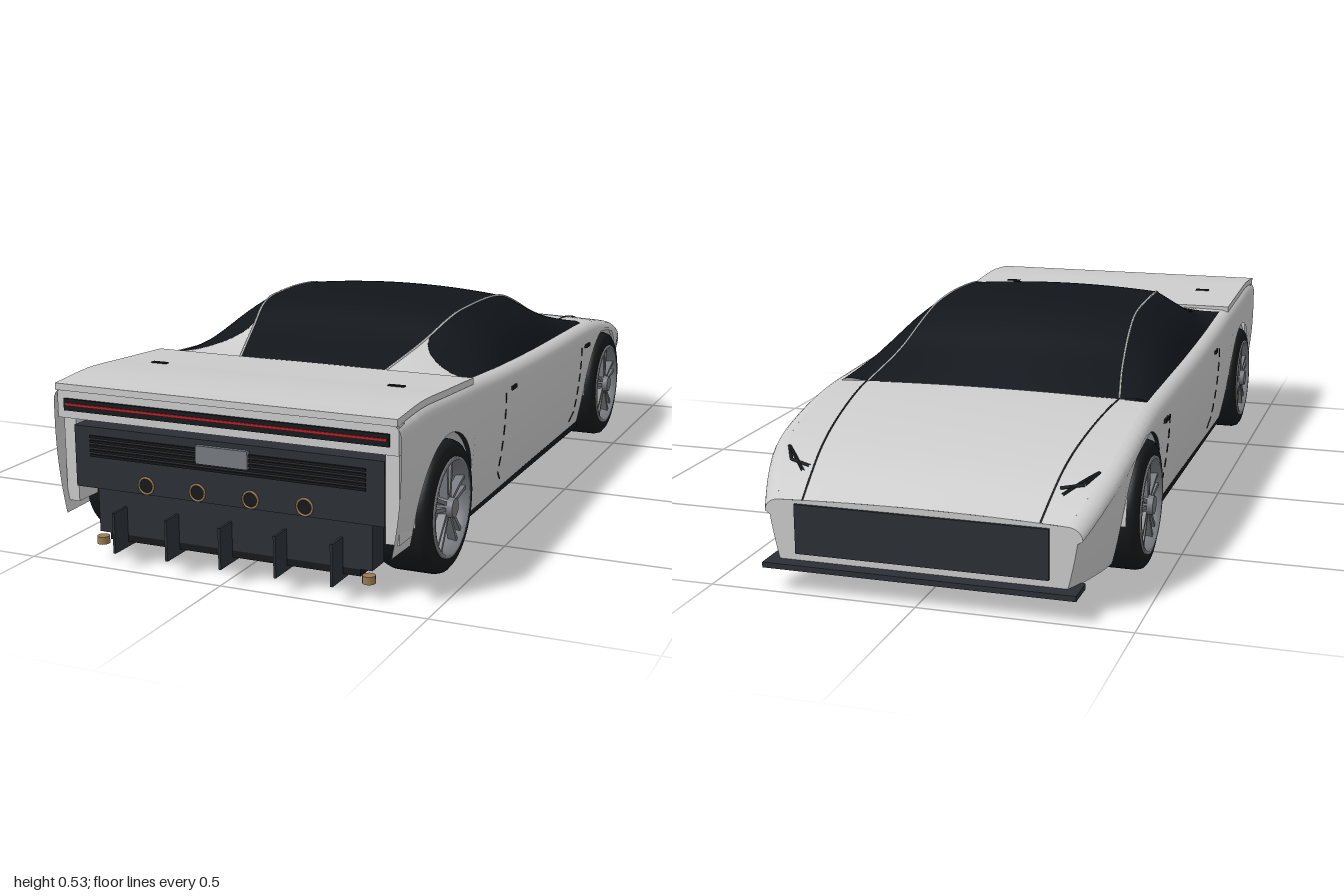
import * as THREE from 'three';

const paint = (color) => new THREE.MeshStandardMaterial({ color, side: THREE.DoubleSide });
const SILVER = paint(0xcccccc), GLASS = paint(0x12161b), DARK = paint(0x2b3036), BLACK = paint(0x16181a);
const METAL = paint(0x777b80), RED = paint(0xc01822), GOLD = paint(0x9a7b4f);
const lerp = THREE.MathUtils.lerp, clamp = THREE.MathUtils.clamp;

// Smooth curve through [z, value] pairs
function curve(pts) {
  const slope = (i) => {
    const a = pts[Math.max(i - 1, 0)], b = pts[Math.min(i + 1, pts.length - 1)];
    return (b[1] - a[1]) / (b[0] - a[0]);
  };
  return (z) => {
    z = clamp(z, pts[0][0], pts[pts.length - 1][0]);
    let i = 0;
    while (i < pts.length - 2 && z > pts[i + 1][0]) i++;
    const [z0, a] = pts[i], [z1, b] = pts[i + 1], d = z1 - z0, t = (z - z0) / d, t2 = t * t, t3 = t2 * t;
    return a * (2 * t3 - 3 * t2 + 1) + b * (3 * t2 - 2 * t3)
      + d * (slope(i) * (t3 - 2 * t2 + t) + slope(i + 1) * (t3 - t2));
  };
}

// Main lines of the car (the nose points to -z)
const NOSE = -0.965, TAIL = 0.985, COWL = -0.46, DECK = 0.53;
const WHEELS = [0.715, -0.605], WHEEL_Y = 0.155, ARCH = 0.172;
const topY = curve([[NOSE, 0.21], [-0.85, 0.28], [-0.75, 0.318], [-0.6, 0.35], [COWL, 0.365], [0, 0.377],
  [0.3, 0.39], [DECK, 0.405], [0.7, 0.415], [0.85, 0.423], [TAIL, 0.415]]);
const halfW = curve([[NOSE, 0.375], [-0.9, 0.4], [-0.8, 0.425], [-0.65, 0.433], [-0.4, 0.435], [0.8, 0.437], [TAIL, 0.432]]);
const roofY = curve([[COWL, 0.367], [-0.3, 0.435], [-0.2, 0.48], [-0.1, 0.515], [0, 0.526], [0.13, 0.527],
  [0.25, 0.515], [0.38, 0.465], [DECK, 0.412]]);
const seamY = curve([[COWL, 0.366], [-0.3, 0.42], [-0.2, 0.463], [-0.1, 0.498], [0, 0.51], [0.13, 0.512],
  [0.25, 0.503], [0.38, 0.456], [DECK, 0.408]]);
const seamX = curve([[COWL, 0.33], [-0.3, 0.3], [-0.1, 0.28], [0.1, 0.275], [0.25, 0.266], [0.38, 0.236], [DECK, 0.195]]);

function bottomY(z) {
  for (const c of WHEELS) {
    const d = Math.abs(z - c);
    if (d < ARCH) return WHEEL_Y + Math.sqrt(ARCH * ARCH - d * d);
  }
  return z > 0.88 ? 0.115 : 0.066;
}
function sidePoint(z, t) {
  const w = halfW(z), shoulder = topY(z) - 0.03;
  if (t < 0.75) {
    const y = lerp(bottomY(z), shoulder, t / 0.75);
    return [w - 0.035 * Math.pow(Math.max(0, 0.33 - y) / 0.27, 2), y];
  }
  const a = (t - 0.75) * 2 * Math.PI;
  return [w - 0.035 * (1 - Math.cos(a)), shoulder + 0.03 * Math.sin(a)];
}
const cabinSide = (s, z, v) => {
  const bulge = 0.012 * Math.sin(Math.PI * v) * Math.min(1, (DECK - z) * 5);
  return [s * (lerp(seamX(z), halfW(z) - 0.035, v) + bulge), lerp(seamY(z), topY(z), v) + bulge * 0.5, z];
};
const sailEdge = (z) => clamp(Math.pow(Math.max(0, z - 0.33) / 0.175, 2), 0, 1);
const hoodY = (x, z) => topY(z) + 0.008 * (1 - Math.pow(x / halfW(z), 2)) + 0.001;

export function createModel() {
  const car = new THREE.Group();
  car.name = 'sportsCar';

  const add = (name, geo, mat, x = 0, y = 0, z = 0, parent = car) => {
    const m = new THREE.Mesh(geo, mat);
    m.name = name;
    m.position.set(x, y, z);
    parent.add(m);
    return m;
  };
  // Box given by its limits on each axis
  const box = (name, mat, [x0, x1], [y0, y1], [z0, z1], parent) => add(name,
    new THREE.BoxGeometry(x1 - x0, y1 - y0, z1 - z0), mat, (x0 + x1) / 2, (y0 + y1) / 2, (z0 + z1) / 2, parent);
  // Curved sheet from f(u, v)
  const sheet = (name, mat, nu, nv, f) => {
    const geo = new THREE.PlaneGeometry(1, 1, nu, nv), p = geo.attributes.position, uv = geo.attributes.uv;
    for (let i = 0; i < p.count; i++) p.setXYZ(i, ...f(uv.getX(i), uv.getY(i)));
    geo.computeVertexNormals();
    return add(name, geo, mat);
  };
  const line = (name, mat, pts, r) => add(name, new THREE.TubeGeometry(
    new THREE.CatmullRomCurve3(pts.map((p) => new THREE.Vector3(...p))), pts.length * 4, r, 5), mat);
  const steps = (n, f) => Array.from({ length: n + 1 }, (_, i) => f(i / n));

  // Columns of the side panels, dense along the wheel arches
  const zs = steps(60, (t) => lerp(NOSE, TAIL, t)).concat([0.8795, 0.8805]);
  for (const c of WHEELS) {
    zs.push(c - ARCH - 0.0005, c + ARCH + 0.0005);
    zs.push(...steps(28, (t) => c - (ARCH - 1e-5) * Math.cos(Math.PI * t)));
  }
  zs.sort((a, b) => a - b);

  for (const s of [1, -1]) {
    const side = s > 0 ? 'left' : 'right';
    sheet(side + 'BodySide', SILVER, zs.length - 1, 20, (u, v) => {
      const z = zs[Math.round(u * (zs.length - 1))], [x, y] = sidePoint(z, v);
      return [s * x, y, z];
    });
    // Side window, rear sail panel and roof seam
    sheet(side + 'Window', GLASS, 48, 8, (u, v) => {
      const z = lerp(COWL, DECK, u);
      return cabinSide(s, z, lerp(sailEdge(z), 1, v));
    });
    sheet(side + 'SailPanel', SILVER, 20, 8, (u, v) => {
      const z = lerp(0.33, DECK, u);
      return cabinSide(s, z, v * sailEdge(z));
    });
    line(side + 'RoofSeam', SILVER, steps(16, (t) => cabinSide(s, lerp(COWL, DECK, t), 0)), 0.003);
    line(side + 'HoodSeam', DARK, steps(8, (t) => {
      const z = lerp(COWL, NOSE, t), x = lerp(0.33, 0.28, t);
      return [s * x, hoodY(x, z), z];
    }), 0.002);
    // Forked slit headlamp
    for (const [x0, z0, x1, z1] of [[0.375, -0.825, 0.31, -0.895], [0.375, -0.825, 0.352, -0.865], [0.352, -0.865, 0.3, -0.88]])
      line(side + 'Headlamp', BLACK, steps(3, (t) => {
        const x = lerp(x0, x1, t), z = lerp(z0, z1, t);
        return [s * x, hoodY(x, z), z];
      }), 0.004);
    // Dashed door seams, handle and side marker
    const outside = (z, t) => [s * (sidePoint(z, t)[0] + 0.0005), sidePoint(z, t)[1], z];
    for (const z of [0.32, -0.36])
      for (let i = 0; i < 6; i++)
        line(side + 'DoorSeam', BLACK, steps(2, (t) => outside(z - (i === 0 ? 0.03 * (1 - t) * Math.sign(z) : 0), 0.09 + (i + t * 0.6) * 0.105)), 0.0022);
    const [hx0, hx1] = s > 0 ? [0.425, 0.441] : [-0.441, -0.425];
    box(side + 'DoorHandle', BLACK, [hx0, hx1], [0.331, 0.341], [0.245, 0.28]);
    box(side + 'SideMarker', BLACK, [hx0, hx1], [0.307, 0.316], [-0.43, -0.39]);
    box(side + 'DeckHinge', BLACK, s > 0 ? [0.29, 0.33] : [-0.33, -0.29], [0.41, 0.429], [0.713, 0.726]);
    box(side + 'RearCorner', SILVER, s > 0 ? [0.388, 0.42] : [-0.42, -0.388], [0.14, 0.345], [0.89, 0.965]);
    box(side + 'Sill', BLACK, s > 0 ? [0.36, 0.405] : [-0.405, -0.36], [0.058, 0.074], [-0.43, 0.53]);
    for (const [x, z] of [[0.34, 0.945], [0.25, -0.78]])
      add(side + 'FloorBolt', new THREE.CylinderGeometry(0.015, 0.015, 0.018, 16), GOLD, s * x, 0.047, z);

    // Wheels and arch liners
    for (const c of WHEELS) {
      const liner = new THREE.CylinderGeometry(ARCH, ARCH, 0.13, 32, 1, true, 0, Math.PI);
      liner.rotateZ(Math.PI / 2);
      liner.rotateX(liner.attributes.position.getY(8) > 0 ? 0 : Math.PI);
      add(side + 'ArchLiner', liner, SILVER, s * 0.36, WHEEL_Y, c);
      const wheel = new THREE.Group();
      wheel.name = side + (c > 0 ? 'Rear' : 'Front') + 'Wheel';
      wheel.position.set(s * 0.377, WHEEL_Y, c);
      wheel.rotation.z = -s * Math.PI / 2;
      car.add(wheel);
      const lathe = (name, mat, pts) => add(name,
        new THREE.LatheGeometry(pts.map((p) => new THREE.Vector2(...p)), 48), mat, 0, 0, 0, wheel);
      lathe('tire', BLACK, [[0.1, -0.065], [0.14, -0.066], [0.15, -0.06], [0.155, -0.045], [0.155, 0.045], [0.151, 0.058], [0.142, 0.065], [0.116, 0.067]]);
      lathe('rim', METAL, [[0.118, 0.064], [0.117, 0.071], [0.109, 0.071], [0.103, 0.05], [0.1, 0.01]]);
      lathe('rimDisc', SILVER, [[0.002, 0.02], [0.104, 0.02]]);
      lathe('innerDisc', DARK, [[0.002, -0.05], [0.104, -0.05]]);
      add('hub', new THREE.CylinderGeometry(0.022, 0.03, 0.06, 24), METAL, 0, 0.046, 0, wheel);
      for (let i = 0; i < 5; i++) {
        const spoke = new THREE.Group();
        spoke.name = 'spoke';
        spoke.rotation.y = (i * 2 * Math.PI) / 5 + (s > 0 ? Math.PI : 0);
        wheel.add(spoke);
        for (const k of [-1, 1])
          add('spokeBar', new THREE.BoxGeometry(0.09, 0.02, 0.009), METAL, 0.065, 0.052, k * 0.011, spoke).rotation.y = -k * 0.1;
      }
    }
  }

  // Roof with windscreen and rear window, hood, nose
  sheet('roofGlass', GLASS, 48, 16, (u, v) => {
    const z = lerp(COWL, DECK, u), k = 2 * v - 1;
    return [k * seamX(z), lerp(roofY(z), seamY(z), k * k), z];
  });
  sheet('hood', SILVER, 24, 16, (u, v) => {
    const z = lerp(NOSE, COWL, u), k = 2 * v - 1;
    return [k * (halfW(z) - 0.035), topY(z) + 0.008 * (1 - k * k), z];
  });
  sheet('noseFace', SILVER, 8, 20, (u, v) => {
    const [x, y] = sidePoint(NOSE, v), k = 2 * u - 1;
    return [k * x, y + 0.008 * (1 - k * k) * v, NOSE];
  });
  box('grille', DARK, [-0.3, 0.3], [0.085, 0.203], [-0.972, -0.95]);
  box('splitter', DARK, [-0.37, 0.37], [0.055, 0.068], [-1, -0.92]);

  // Rear deck following the body line
  const deck = new THREE.BoxGeometry(0.85, 0.016, TAIL - DECK + 0.005, 1, 1, 14);
  deck.translate(0, 0, (TAIL + DECK) / 2);
  const dp = deck.attributes.position;
  for (let i = 0; i < dp.count; i++) dp.setY(i, dp.getY(i) + topY(dp.getZ(i)) + 0.002);
  deck.computeVertexNormals();
  add('rearDeck', deck, SILVER);

  // Tail panel, light bar, bumper with louvers, plate and exhausts
  box('tailPanel', SILVER, [-0.425, 0.425], [0.343, 0.41], [0.95, 0.98]);
  box('lightBar', BLACK, [-0.405, 0.405], [0.362, 0.39], [0.97, 0.986]);
  box('tailLight', RED, [-0.4, 0.4], [0.375, 0.38], [0.98, 0.988]);
  box('bumper', DARK, [-0.388, 0.388], [0.18, 0.326], [0.88, 0.972]);
  for (let i = 0; i < 5; i++) box('louver', BLACK, [-0.346, 0.346], [0.256 + i * 0.011, 0.262 + i * 0.011], [0.96, 0.977]);
  box('plate', METAL, [-0.065, 0.065], [0.272, 0.314], [0.96, 0.982]);
  for (const x of [-0.2, -0.067, 0.067, 0.2]) {
    add('exhaustRim', new THREE.TorusGeometry(0.019, 0.0025, 8, 28), GOLD, x, 0.202, 0.974);
    add('exhaust', new THREE.CylinderGeometry(0.019, 0.019, 0.03, 28), BLACK, x, 0.202, 0.959).rotation.x = Math.PI / 2;
  }

  // Diffuser, floor and inner core
  box('diffuser', DARK, [-0.348, 0.348], [0.066, 0.18], [0.88, 0.945]);
  box('diffuserTray', BLACK, [-0.32, 0.32], [0.05, 0.066], [0.84, 0.945]);
  for (let i = -2; i <= 2; i++) box('diffuserFin', DARK, [i * 0.1375 - 0.003, i * 0.1375 + 0.003], [0.038, 0.135], [0.905, 1]);
  box('floor', BLACK, [-0.31, 0.31], [0.05, 0.058], [-0.84, 0.86]);
  box('midFloor', BLACK, [-0.365, 0.365], [0.0495, 0.0575], [-0.43, 0.54]);
  box('chassisCore', BLACK, [-0.295, 0.295], [0.057, 0.28], [-0.78, 0.88]);
  return car;
}
